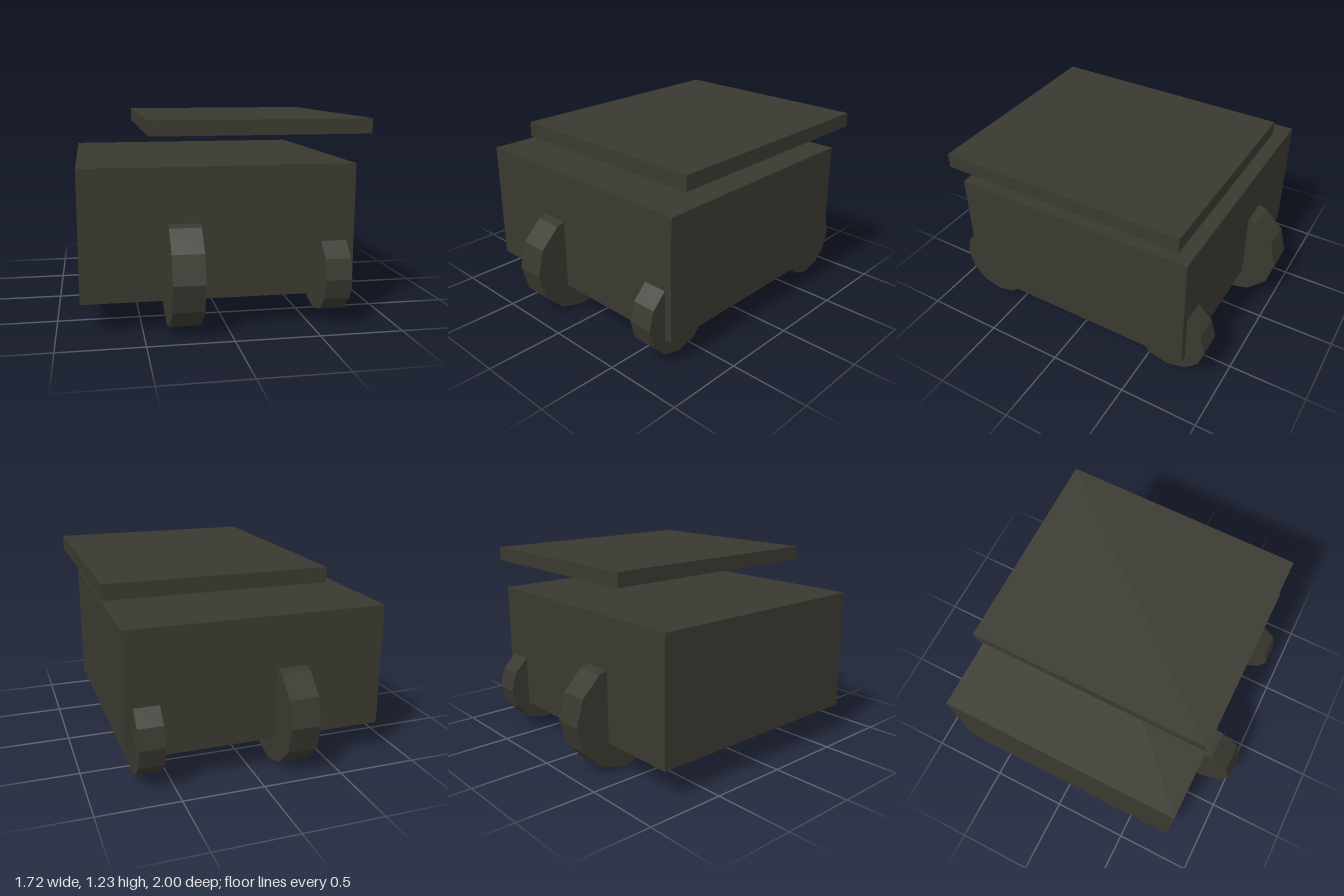
import * as THREE from 'three';

export function createModel() {
  const model = new THREE.Group();
  model.name = 'cart';
  const darkOlive = new THREE.MeshStandardMaterial({ color: 0x3a3930, flatShading: true });
  darkOlive.name = 'darkOlive';

  // Box given by its extents in x and y and its half depth in z
  function addBox(name, x0, x1, y0, y1, halfZ) {
    const mesh = new THREE.Mesh(new THREE.BoxGeometry(x1 - x0, y1 - y0, halfZ * 2), darkOlive);
    mesh.position.set((x0 + x1) / 2, (y0 + y1) / 2, 0);
    mesh.name = name;
    model.add(mesh);
  }

  // Mirrored pair of twelve-sided wheels turning about x
  function addWheelPair(name, x0, x1, y, z, radius) {
    const geometry = new THREE.CylinderGeometry(radius, radius, x1 - x0, 12);
    geometry.rotateZ(Math.PI / 2);
    for (const side of [1, -1]) {
      const wheel = new THREE.Mesh(geometry, darkOlive);
      wheel.position.set((x0 + x1) / 2, y, side * z);
      wheel.name = name + (side > 0 ? 'Front' : 'Back');
      model.add(wheel);
    }
  }

  addBox('body', -0.86, 0.765, 0.187, 0.967, 0.78);
  addBox('floatingRoof', -0.455, 0.86, 1.138, 1.228, 0.77);
  addWheelPair('largeWheel', -0.351, -0.164, 0.335, 0.665, 0.335);
  addWheelPair('smallWheel', 0.563, 0.718, 0.296, 0.661, 0.242);

  return model;
}
